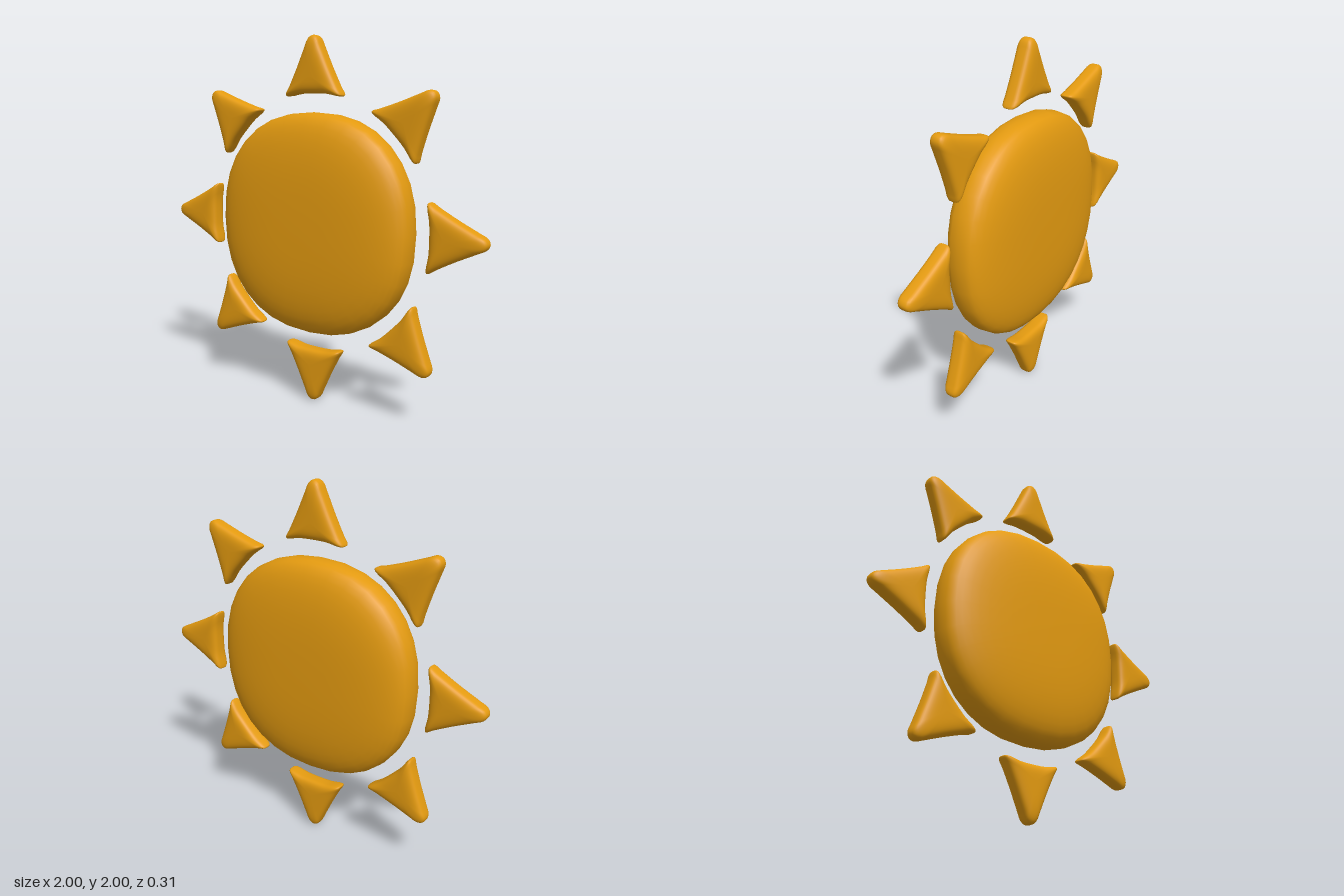
import * as THREE from 'three';

// Closed pillow: an outline (counter-clockwise in xy) shrinking toward a centre as z
// moves to +-depth along a superellipse of power n. Smooth normals.
function pillow(outline, cx, cy, depth, n, layers = 22) {
  const pos = [], index = [], count = outline.length;
  for (let j = 1; j < layers; j++) {
    const a = -Math.PI / 2 + (Math.PI * j) / layers;
    const s = Math.pow(Math.cos(a), 2 / n);
    const z = depth * Math.sign(Math.sin(a)) * Math.pow(Math.abs(Math.sin(a)), 2 / n);
    for (const [x, y] of outline) pos.push(cx + (x - cx) * s, cy + (y - cy) * s, z);
  }
  const back = pos.length / 3, front = back + 1, last = (layers - 2) * count;
  pos.push(cx, cy, -depth, cx, cy, depth);
  for (let i = 0; i < count; i++) {
    const k = (i + 1) % count;
    for (let j = 0; j < layers - 2; j++) {
      const p = j * count, q = p + count;
      index.push(p + i, p + k, q + k, p + i, q + k, q + i);
    }
    index.push(back, k, i, front, last + i, last + k);
  }
  const geometry = new THREE.BufferGeometry();
  geometry.setAttribute('position', new THREE.Float32BufferAttribute(pos, 3));
  geometry.setIndex(index);
  geometry.computeVertexNormals();
  return geometry;
}

// Slightly squared circle for the disc
function discOutline(radius, power, sides) {
  const soft = (v) => Math.sign(v) * Math.pow(Math.abs(v), 2 / power);
  return Array.from({ length: sides }, (_, i) => {
    const a = (i / sides) * Math.PI * 2;
    return [radius * soft(Math.cos(a)), radius * soft(Math.sin(a))];
  });
}

// Triangle with a rounded tip, pointed base corners and a hollow base
function rayOutline() {
  const half = [[-0.026, 0.988], [-0.048, 0.945], [-0.1, 0.835], [-0.155, 0.73],
    [-0.178, 0.69], [-0.17, 0.684], [-0.09, 0.697]];
  const points = [[0, 1], ...half, [0, 0.7], ...half.map(([x, y]) => [-x, y]).reverse()];
  const curve = new THREE.CatmullRomCurve3(points.map(([x, y]) => new THREE.Vector3(x, y, 0)), true);
  return curve.getPoints(points.length * 3).slice(0, -1).map((p) => [p.x, p.y]);
}

export function createModel() {
  const group = new THREE.Group();
  group.name = 'sun';
  const material = new THREE.MeshStandardMaterial({ color: 0xe39a10 });

  // Central disc
  const disc = new THREE.Mesh(pillow(discOutline(0.602, 2.28, 32), 0, 0, 0.155, 3), material);
  disc.name = 'disc';
  disc.position.y = 1;
  group.add(disc);

  // Eight rays around the disc
  const rayGeometry = pillow(rayOutline(), 0, 0.79, 0.053, 3.6);
  for (let i = 0; i < 8; i++) {
    const ray = new THREE.Mesh(rayGeometry, material);
    ray.name = `ray${i + 1}`;
    ray.position.set(0, 1, -0.006);
    ray.rotation.z = (i * Math.PI) / 4;
    group.add(ray);
  }
  return group;
}
